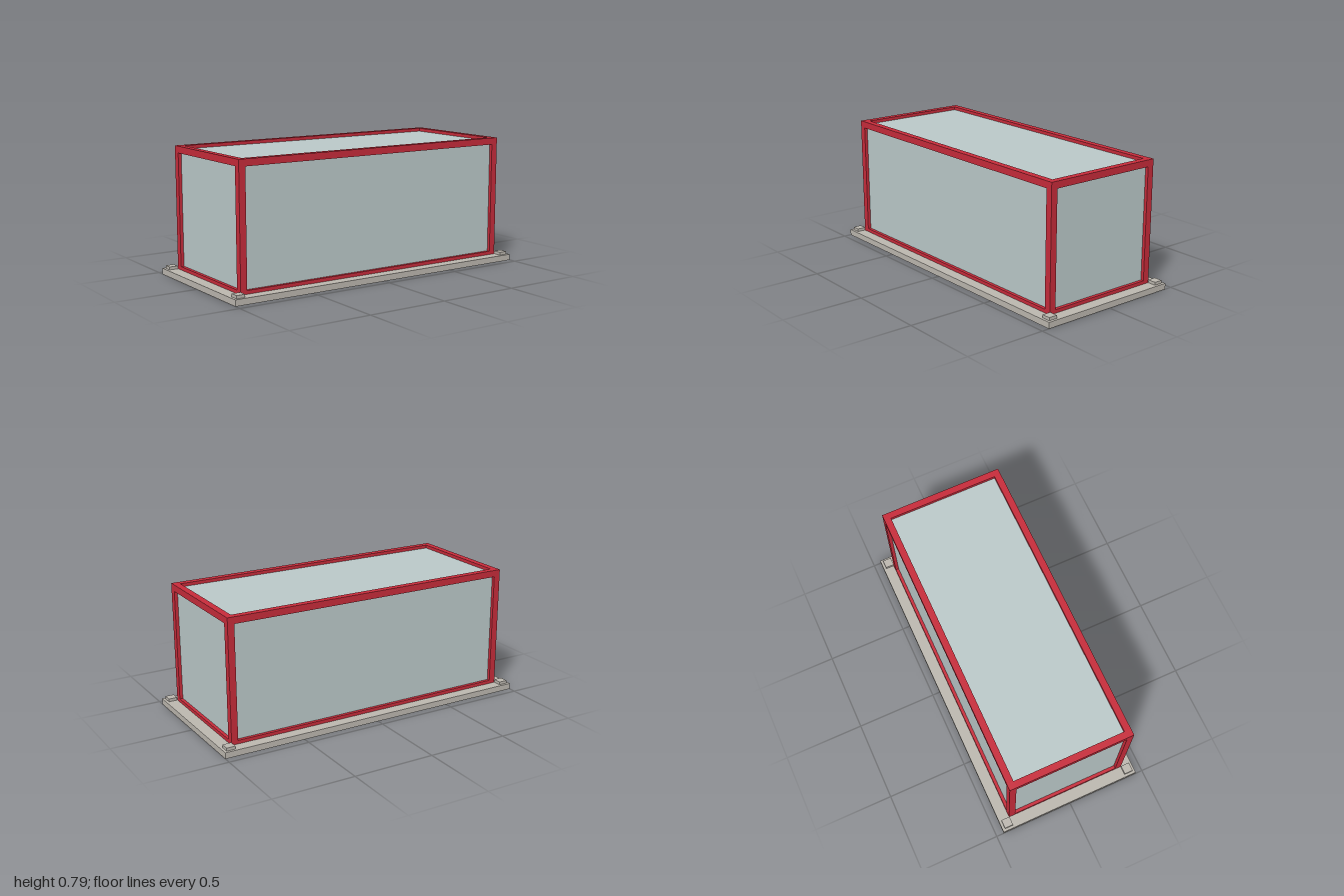
import * as THREE from 'three';

export function createModel() {
  const model = new THREE.Group();
  model.name = 'framedContainer';

  const material = (name, color) => {
    const m = new THREE.MeshStandardMaterial({ color });
    m.name = name;
    return m;
  };
  const red = material('red frame', 0xc62b3a);
  const paleGlass = material('pale panel', 0xbac8c8);
  const stone = material('warm grey base', 0xbbb6ae);

  const box = (name, mat, size, pos, parent) => {
    const mesh = new THREE.Mesh(new THREE.BoxGeometry(...size), mat);
    mesh.name = name;
    mesh.position.set(...pos);
    parent.add(mesh);
  };

  // Base slab
  const baseTop = 0.037;
  box('baseSlab', stone, [2, baseTop, 0.906], [0, baseTop / 2, 0], model);

  // Outer half extents, height range and thickness of the frame
  const hx = 0.928, hz = 0.384, top = 0.785, bar = 0.041;
  const bottom = 0.017, recess = 0.02;
  const px = hx - bar / 2, pz = hz - bar / 2;

  const frame = new THREE.Group();
  frame.name = 'frame';
  model.add(frame);

  // Corner posts, with a small foot pad outside each one
  for (const sx of [-1, 1]) {
    for (const sz of [-1, 1]) {
      box('cornerPost', red, [bar, top - baseTop, bar],
        [sx * px, (top + baseTop) / 2, sz * pz], frame);
      box('cornerPad', stone, [0.054, 0.018, 0.054],
        [sx * 0.957, baseTop + 0.009, sz * 0.41], model);
    }
  }

  // Top and bottom rails between the posts; the bottom ones sink into the base
  for (const y of [bottom + bar / 2, top - bar / 2]) {
    for (const s of [-1, 1]) {
      box('longRail', red, [2 * (hx - bar), bar, bar], [0, y, s * pz], frame);
      box('endRail', red, [bar, bar, 2 * (hz - bar)], [s * px, y, 0], frame);
    }
  }

  // Recessed panels filling the frame on all sides and the roof
  const panels = new THREE.Group();
  panels.name = 'panels';
  model.add(panels);
  const t = 0.01;
  const height = top - recess - baseTop;
  const midY = baseTop + height / 2;
  for (const s of [-1, 1]) {
    box('sidePanel', paleGlass, [2 * (hx - recess), height, t],
      [0, midY, s * (hz - recess - t / 2)], panels);
    box('endPanel', paleGlass, [t, height, 2 * (hz - recess)],
      [s * (hx - recess - t / 2), midY, 0], panels);
  }
  box('roofPanel', paleGlass, [2 * (hx - recess), t, 2 * (hz - recess)],
    [0, top - recess - t / 2, 0], panels);

  return model;
}
